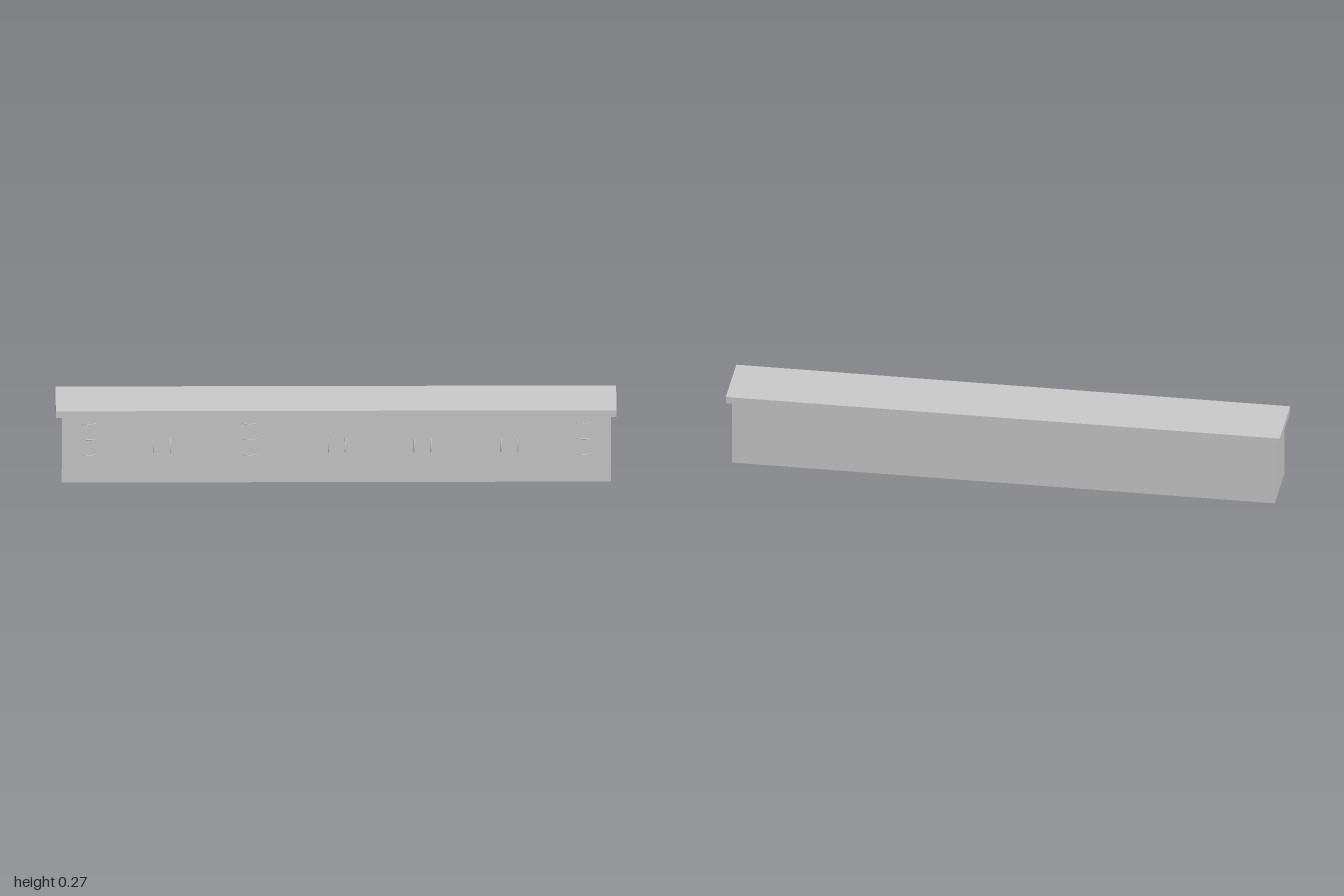
import * as THREE from 'three';

const material = new THREE.MeshStandardMaterial({ color: 0xcccccc });
const FRONT = 0.116;

function box(name, x0, x1, y0, y1, z0, z1) {
  const mesh = new THREE.Mesh(new THREE.BoxGeometry(x1 - x0, y1 - y0, z1 - z0), material);
  mesh.name = name;
  mesh.position.set((x0 + x1) / 2, (y0 + y1) / 2, (z0 + z1) / 2);
  return mesh;
}

// Thin bow handle: a circular arc bulging forward from the front face
function handleGeometry() {
  const half = 0.026, rise = 0.0095;
  const radius = (half * half + rise * rise) / (2 * rise);
  const sweep = Math.asin(half / radius);
  const points = [];
  for (let i = 0; i <= 10; i++) {
    const a = sweep * (i / 5 - 1);
    points.push(new THREE.Vector3(radius * Math.sin(a), 0, radius * Math.cos(a) - radius + rise));
  }
  return new THREE.TubeGeometry(new THREE.CatmullRomCurve3(points), 16, 0.0015, 8);
}

export function createModel() {
  const model = new THREE.Group();
  model.name = 'longCounter';

  // Cabinet body and overhanging worktop, flush at the front
  model.add(box('cabinetBody', -0.98, 0.98, 0, 0.247, -0.112, FRONT));
  model.add(box('worktop', -1, 1, 0.247, 0.273, -0.127, FRONT));

  const geometry = handleGeometry();
  const addHandle = (name, x, y, turn) => {
    const handle = new THREE.Mesh(geometry, material);
    handle.name = name;
    handle.position.set(x, y, FRONT);
    handle.rotation.z = turn;
    model.add(handle);
  };

  // Three drawer stacks with horizontal handles
  for (const x of [-0.883, -0.308, 0.883])
    for (const y of [0.107, 0.167, 0.226]) addHandle('drawerHandle', x, y, 0);

  // Four double doors with paired vertical handles
  for (const x of [-0.622, 0.002, 0.308, 0.618])
    for (const side of [-1, 1]) addHandle('doorHandle', x + side * 0.03, 0.141, Math.PI / 2);

  return model;
}
